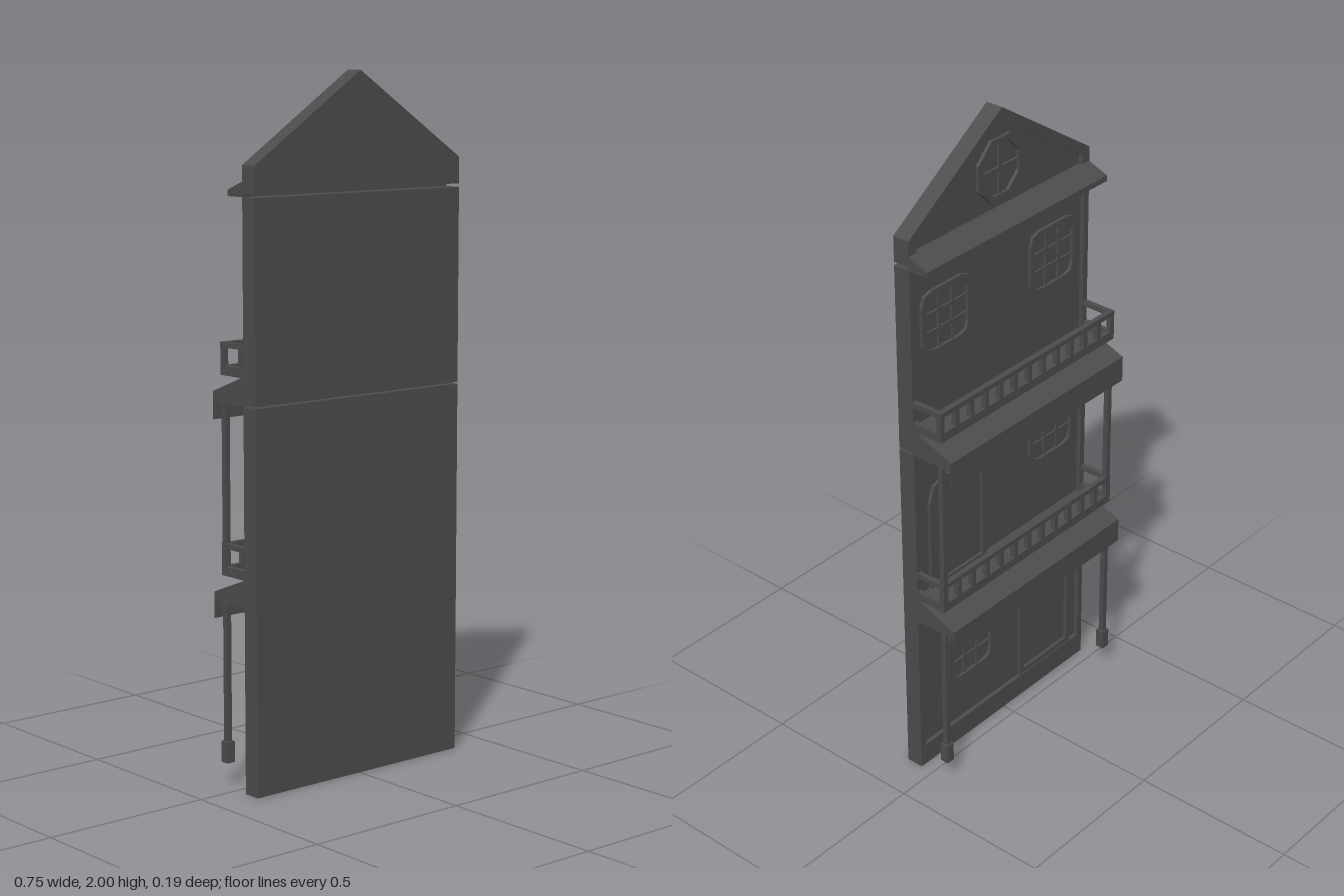
import * as THREE from 'three';

const mat = new THREE.MeshStandardMaterial({ color: 0x4c4c4c, flatShading: true });
const HALF = 0.375;              // half width of the house
const FRONT = 0.095, BACK = 0.042, WALL = 0.055; // plain face, trim face, recessed wall face

function add(parent, name, geometry) {
  const mesh = new THREE.Mesh(geometry, mat);
  mesh.name = name;
  parent.add(mesh);
  return mesh;
}

// Box given by its limits on each axis
function box(parent, name, x0, x1, y0, y1, z0, z1) {
  const mesh = add(parent, name, new THREE.BoxGeometry(x1 - x0, y1 - y0, z1 - z0));
  mesh.position.set((x0 + x1) / 2, (y0 + y1) / 2, (z0 + z1) / 2);
  return mesh;
}

// Flat outline extruded from z0 to z1
function plate(parent, name, shape, z0, z1) {
  const geometry = new THREE.ExtrudeGeometry(shape, { depth: z1 - z0, bevelEnabled: false, curveSegments: 2 });
  geometry.translate(0, 0, z0);
  return add(parent, name, geometry);
}

// Rectangle with separately rounded top and bottom corners
function roundedRect(Type, w, h, top, bottom) {
  const s = new Type(), x = w / 2, y = h / 2;
  s.moveTo(-x + bottom, -y);
  s.lineTo(x - bottom, -y);
  if (bottom) s.quadraticCurveTo(x, -y, x, -y + bottom);
  s.lineTo(x, y - top);
  s.quadraticCurveTo(x, y, x - top, y);
  s.lineTo(-x + top, y);
  s.quadraticCurveTo(-x, y, -x, y - top);
  s.lineTo(-x, -y + bottom);
  if (bottom) s.quadraticCurveTo(-x, -y, -x + bottom, -y);
  return s;
}

function polygon(points) {
  return points.map(([x, y]) => new THREE.Vector2(x, y));
}

function createWindow(x, y) {
  const g = new THREE.Group();
  g.name = 'window';
  const frame = roundedRect(THREE.Shape, 0.2, 0.2, 0.04, 0.04);
  frame.holes.push(roundedRect(THREE.Path, 0.168, 0.168, 0.03, 0.03));
  plate(g, 'windowFrame', frame, 0.045, 0.06);
  for (const o of [-0.028, 0.028]) {
    box(g, 'muntin', o - 0.004, o + 0.004, -0.085, 0.085, 0.049, 0.06);
    box(g, 'muntin', -0.085, 0.085, o - 0.004, o + 0.004, 0.049, 0.06);
  }
  g.position.set(x, y, 0);
  return g;
}

function createDoor(x, y0, y1) {
  const g = new THREE.Group(), h = y1 - y0;
  g.name = 'door';
  const frame = roundedRect(THREE.Shape, 0.24, h, 0.07, 0);
  frame.holes.push(roundedRect(THREE.Path, 0.205, h - 0.035, 0.055, 0));
  plate(g, 'doorFrame', frame, 0.045, 0.06);
  plate(g, 'doorLeaf', roundedRect(THREE.Shape, 0.19, h - 0.05, 0.05, 0), 0.052, 0.06);
  g.position.set(x, (y0 + y1) / 2, 0);
  return g;
}

// Storey block with corner strips and a top band on the decorated side
function createStorey(name, y0, y1) {
  const g = new THREE.Group();
  g.name = name;
  box(g, 'wall', -HALF, HALF, y0, y1, WALL, FRONT);
  for (const s of [-1, 1]) {
    const x = s * (HALF - 0.01);
    box(g, 'cornerStrip', x - 0.01, x + 0.01, y0, y1, BACK, WALL);
  }
  return g;
}

// Raised horizontal band between the corner strips
function band(parent, name, y0, y1) {
  box(parent, name, -HALF + 0.02, HALF - 0.02, y0, y1, BACK, WALL);
}

// Sloping canopy: a wedge profile in (z, y) swept across the width
function createAwning(yBottom, yLip, yWall, zEdge, fringe) {
  const g = new THREE.Group();
  g.name = 'awning';
  const profile = new THREE.Shape(polygon([[-BACK, yBottom], [-zEdge, yBottom], [-zEdge, yLip], [-BACK, yWall]]));
  const geometry = new THREE.ExtrudeGeometry(profile, { depth: 2 * HALF, bevelEnabled: false });
  geometry.translate(0, 0, -HALF).rotateY(Math.PI / 2); // shape x becomes -z
  add(g, 'canopy', geometry);
  if (fringe) box(g, 'fringe', -HALF, HALF, yBottom - fringe, yBottom, zEdge, zEdge + 0.002);
  return g;
}

function createBalcony(y) {
  const g = new THREE.Group();
  g.name = 'balcony';
  const outer = -0.059, inner = -0.043;
  for (const [name, y0, y1] of [['lowerRail', 0, 0.027], ['handRail', 0.077, 0.092]]) {
    box(g, name, -HALF, HALF, y0, y1, outer, inner);
    for (const s of [-1, 1]) {
      const x = s * (HALF - 0.0075);
      box(g, name, x - 0.0075, x + 0.0075, y0, y1, inner, WALL);
    }
  }
  const count = 12;
  for (let i = 0; i <= count; i++) {
    const x = (HALF - 0.0075) * ((2 * i) / count - 1);
    box(g, 'baluster', x - 0.0075, x + 0.0075, 0.027, 0.077, outer, inner);
  }
  g.position.y = y;
  return g;
}

function createGable() {
  const g = new THREE.Group();
  g.name = 'gable';
  const outline = [[-HALF, 1.674], [HALF, 1.674], [HALF, 1.75], [0, 2], [-HALF, 1.75]];
  plate(g, 'gableWall', new THREE.Shape(polygon(outline)), WALL, FRONT);
  const trim = new THREE.Shape(polygon(outline));
  trim.holes.push(new THREE.Path(polygon([[-0.345, 1.706], [-0.345, 1.735], [0, 1.965], [0.345, 1.735], [0.345, 1.706]])));
  plate(g, 'gableTrim', trim, BACK, WALL);

  // Eight-sided attic window with a cross
  const ring = (r) => Array.from({ length: 8 }, (_, i) => {
    const a = ((i + 0.5) * Math.PI) / 4;
    return [r * Math.cos(a), r * Math.sin(a)];
  });
  const attic = new THREE.Group();
  attic.name = 'atticWindow';
  const frame = new THREE.Shape(polygon(ring(0.1)));
  frame.holes.push(new THREE.Path(polygon(ring(0.08))));
  plate(attic, 'atticFrame', frame, 0.045, 0.06);
  box(attic, 'muntin', -0.006, 0.006, -0.075, 0.075, 0.048, 0.06);
  box(attic, 'muntin', -0.075, 0.075, -0.006, 0.006, 0.048, 0.06);
  attic.position.y = 1.82;
  g.add(attic);
  return g;
}

export function createModel() {
  const house = new THREE.Group();
  house.name = 'houseFacade';

  // Walls
  const lower = createStorey('lowerStoreys', 0, 1.094);
  band(lower, 'plinth', 0, 0.07);
  band(lower, 'floorBand', 0.495, 0.61);
  band(lower, 'topBand', 1.059, 1.094);
  const upper = createStorey('upperStorey', 1.099, 1.664);
  band(upper, 'floorBand', 1.099, 1.176);
  band(upper, 'topBand', 1.629, 1.664);
  house.add(lower, upper, createGable());

  // Canopies and balconies; each canopy covers the joint behind it
  house.add(createAwning(1.664, 1.681, 1.706, -0.022, 0));
  house.add(createAwning(1.094, 1.123, 1.176, -0.094, 0.05));
  house.add(createAwning(0.532, 0.556, 0.61, -0.094, 0.052));
  house.add(createBalcony(1.172), createBalcony(0.609));

  // Posts on both floors, with square feet at the bottom
  for (const x of [-0.364, 0.364]) {
    box(house, 'upperPost', x - 0.008, x + 0.008, 0.609, 1.11, -0.059, -0.043);
    box(house, 'lowerPost', x - 0.008, x + 0.008, 0.1, 0.545, -0.059, -0.043);
    box(house, 'postFoot', x - 0.0135, x + 0.0135, 0.07, 0.131, -0.0645, -0.0375);
  }

  // Openings
  house.add(createWindow(0.225, 1.467), createWindow(-0.225, 1.467));
  house.add(createDoor(0.19, 0.6, 0.965), createWindow(-0.225, 0.9));
  house.add(createWindow(0.14, 0.312), createDoor(-0.2, 0.07, 0.4));
  return house;
}
